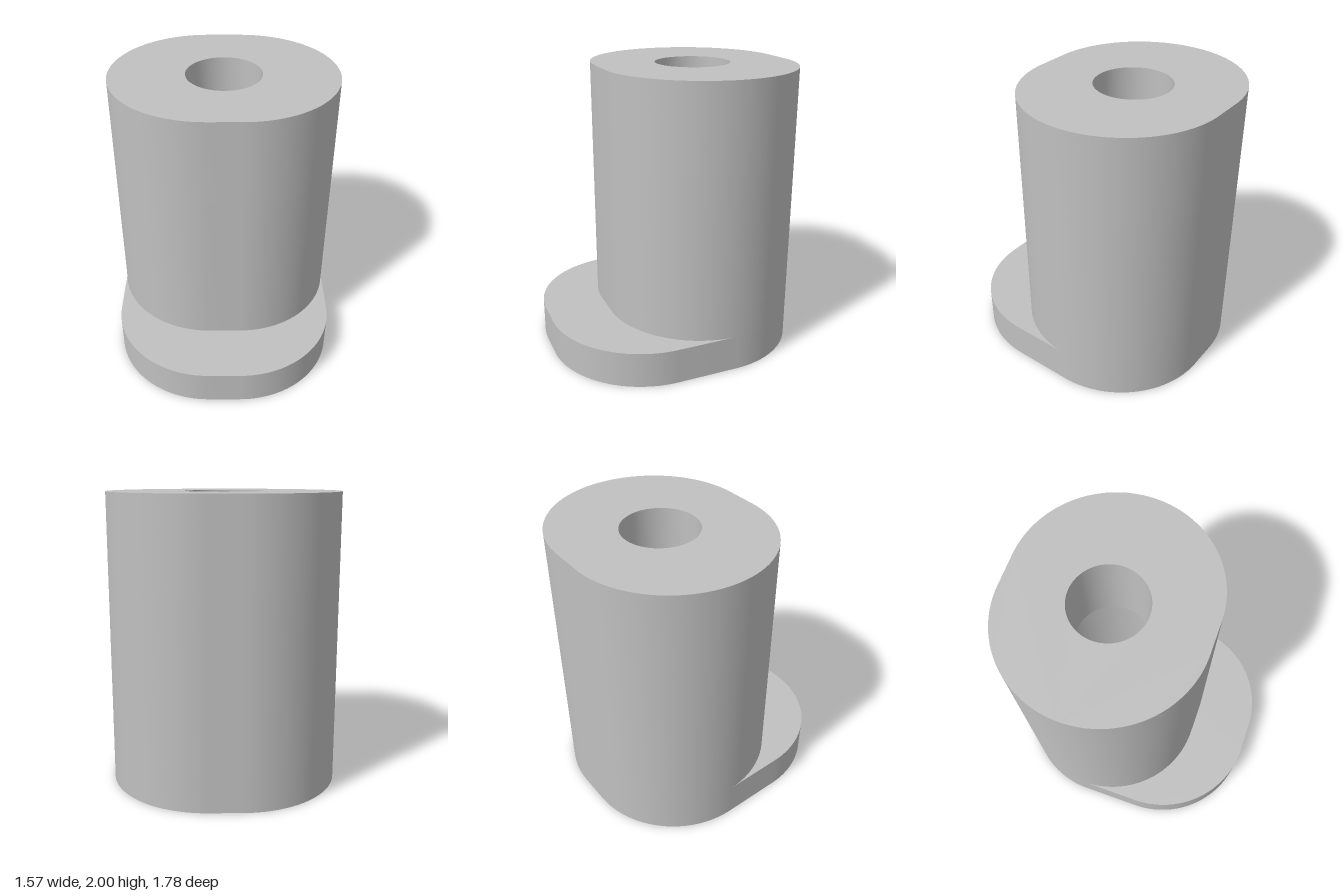
import * as THREE from 'three';
import { toCreasedNormals } from 'three/addons/utils/BufferGeometryUtils.js';

const R = 0.675;      // corner radius
const CX = 0.111;     // half width of the flat front and back
const AXIS = -0.215;  // z of the bore and the column

export function createModel() {
  const group = new THREE.Group();
  group.name = 'flangedSleeve';
  const grey = new THREE.MeshStandardMaterial({ color: 0xc0c0c0 });
  grey.name = 'grey';

  // Upright slab with rounded corners reaching zFront, pierced by a bore
  function slab(name, zFront, bore, y0, y1) {
    const back = -AXIS, front = -zFront; // shape y is -z
    const s = new THREE.Shape();
    s.absarc(CX, front, R, -Math.PI / 2, 0, false);
    s.absarc(CX, back, R, 0, Math.PI / 2, false);
    s.absarc(-CX, back, R, Math.PI / 2, Math.PI, false);
    s.absarc(-CX, front, R, Math.PI, Math.PI * 1.5, false);
    s.closePath();
    const hole = new THREE.Path();
    hole.absarc(0, back, bore, 0, Math.PI * 2, true);
    s.holes.push(hole);
    const extruded = new THREE.ExtrudeGeometry(s, {
      depth: y1 - y0, bevelEnabled: false, curveSegments: 32,
    });
    extruded.rotateX(-Math.PI / 2);
    extruded.translate(0, y0, 0);
    const mesh = new THREE.Mesh(toCreasedNormals(extruded, 0.6), grey);
    mesh.name = name;
    group.add(mesh);
  }

  // Foot and column share the wide counterbore; the head narrows to the top hole
  slab('foot', -AXIS, 0.488, 0, 0.25);
  slab('column', AXIS, 0.488, 0.25, 1.4);
  slab('head', AXIS, 0.262, 1.4, 2);
  return group;
}
